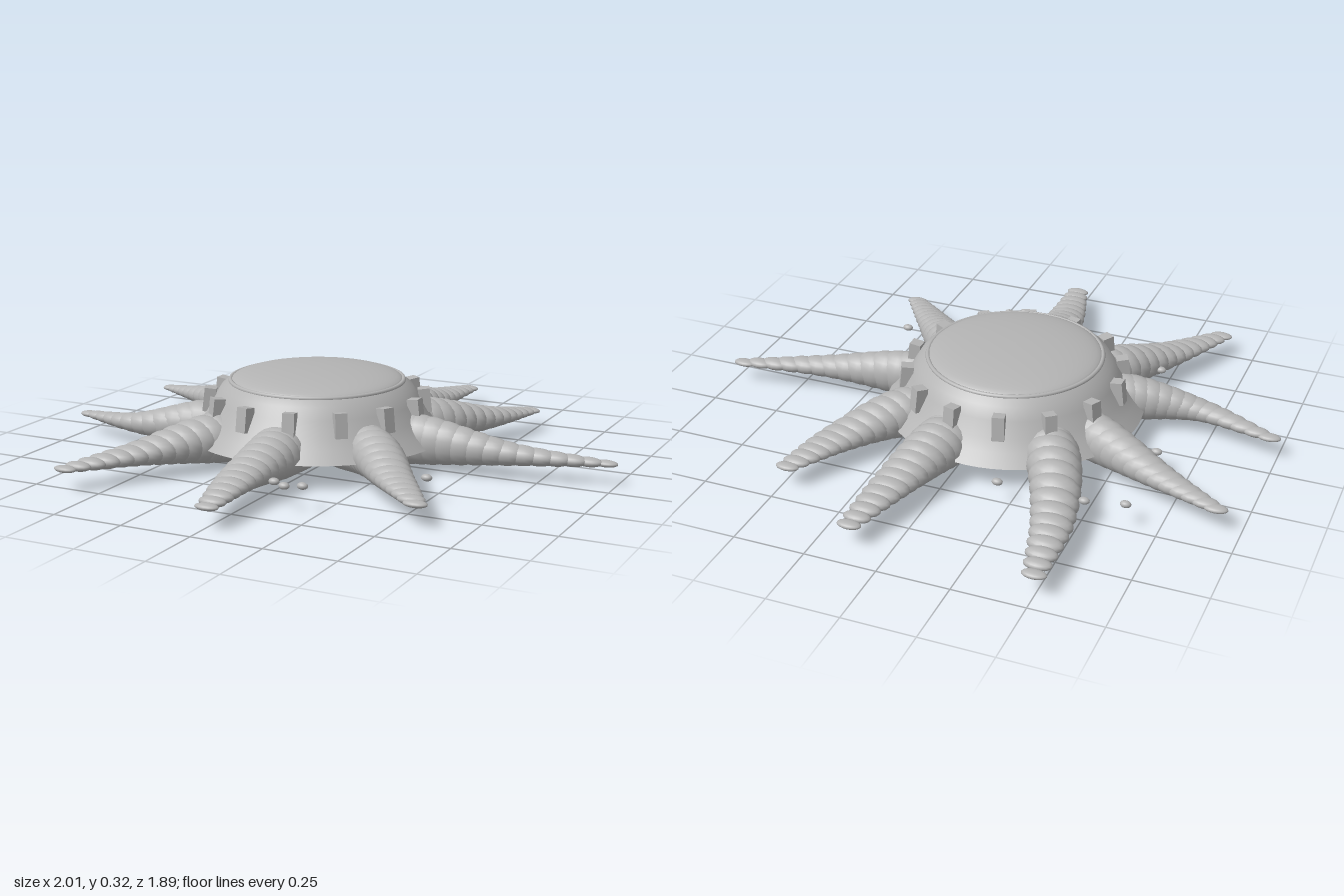
import * as THREE from 'three';

const CX = -0.075; // body axis is slightly off centre

export function createModel() {
  const model = new THREE.Group();
  const grey = new THREE.MeshStandardMaterial({ color: 0xb4b4b4 });
  grey.name = 'stone grey';

  const add = (parent, name, geometry, x, y, z) => {
    const mesh = new THREE.Mesh(geometry, grey);
    mesh.name = name;
    mesh.position.set(x, y, z);
    parent.add(mesh);
    return mesh;
  };
  const lathe = (pts) => new THREE.LatheGeometry(pts.map(([r, y]) => new THREE.Vector2(r, y)), 64);

  // Flared skirt, flat underside, low dome and its rim ring
  add(model, 'skirt', lathe([[0.455, 0.09], [0.42, 0.13], [0.39, 0.17], [0.362, 0.22],
    [0.338, 0.26], [0.305, 0.285]]), CX, 0, 0);
  add(model, 'underside', new THREE.CircleGeometry(0.455, 64).rotateX(Math.PI / 2), CX, 0.09, 0);
  const domePoints = [];
  for (let i = 0; i <= 12; i++) {
    const a = (i / 12) * Math.PI / 2;
    domePoints.push([0.305 * Math.cos(a), 0.28 + 0.045 * Math.sin(a)]);
  }
  add(model, 'dome', lathe(domePoints), CX, 0, 0);
  add(model, 'domeRing', new THREE.TorusGeometry(0.305, 0.008, 8, 64).rotateX(Math.PI / 2), CX, 0.282, 0);

  // Ring of small blocks on the skirt
  const blocks = new THREE.Group();
  blocks.name = 'blocks';
  model.add(blocks);
  const blockGeometry = new THREE.BoxGeometry(0.042, 0.085, 0.042);
  for (let i = 0; i < 14; i++) {
    const a = (i / 14) * Math.PI * 2;
    const block = add(blocks, 'block', blockGeometry,
      CX + 0.38 * Math.cos(a), 0.207, 0.38 * Math.sin(a));
    block.rotation.set(0, -a, 0.12);
  }

  // Arms: chains of flattened ellipsoids, [base, middle, tip] as x, z
  const arms = [
    [[-0.03, 0.4], [-0.03, 0.64], [0.01, 0.915]],
    [[0.255, 0.24], [0.42, 0.435], [0.57, 0.605]],
    [[0.35, 0.005], [0.645, -0.02], [0.96, -0.09]],
    [[0.245, -0.25], [0.39, -0.46], [0.48, -0.665]],
    [[0.045, -0.4], [0.1, -0.64], [0.14, -0.895]],
    [[-0.33, -0.32], [-0.45, -0.64], [-0.495, -0.925]],
    [[-0.45, -0.17], [-0.69, -0.285], [-0.91, -0.38]],
    [[-0.45, 0.145], [-0.69, 0.18], [-0.965, 0.11]],
    [[-0.33, 0.32], [-0.48, 0.535], [-0.62, 0.765]],
  ];
  const ball = new THREE.SphereGeometry(1, 16, 12);
  // Half sizes and height at the start, base, middle and tip
  const sizes = new THREE.CatmullRomCurve3([[0.11, 0.1, 0.072], [0.102, 0.086, 0.068],
    [0.077, 0.04, 0.046], [0.042, 0.012, 0.023]].map((v) => new THREE.Vector3(...v)));
  const heights = [0.105, 0.109, 0.09, 0.078];
  const COUNT = 18;
  for (const points of arms) {
    const arm = new THREE.Group();
    arm.name = 'arm';
    model.add(arm);
    const [bx, bz] = points[0];
    const k = 0.22 / Math.hypot(bx - CX, bz);
    const path = [[CX + (bx - CX) * k, bz * k], ...points];
    const curve = new THREE.CatmullRomCurve3(
      path.map(([x, z], i) => new THREE.Vector3(x, heights[i], z)));
    for (let i = 0; i < COUNT; i++) {
      const t = i / (COUNT - 1);
      const p = curve.getPoint(t);
      add(arm, 'armSegment', ball, p.x, p.y, p.z).scale.copy(sizes.getPoint(t));
    }
  }

  // Loose pebbles floating between the arms
  const pebbles = [[-0.64, -0.48], [-0.64, -0.14], [-0.21, -0.51], [-0.51, -0.51], [0.505, 0.365],
    [0.085, 0.62], [0.137, 0.65], [0.19, 0.625], [-0.49, 0.405]];
  for (const [x, z] of pebbles) add(model, 'pebble', ball, x, 0.09, z).scale.set(0.019, 0.012, 0.014);

  return model;
}
